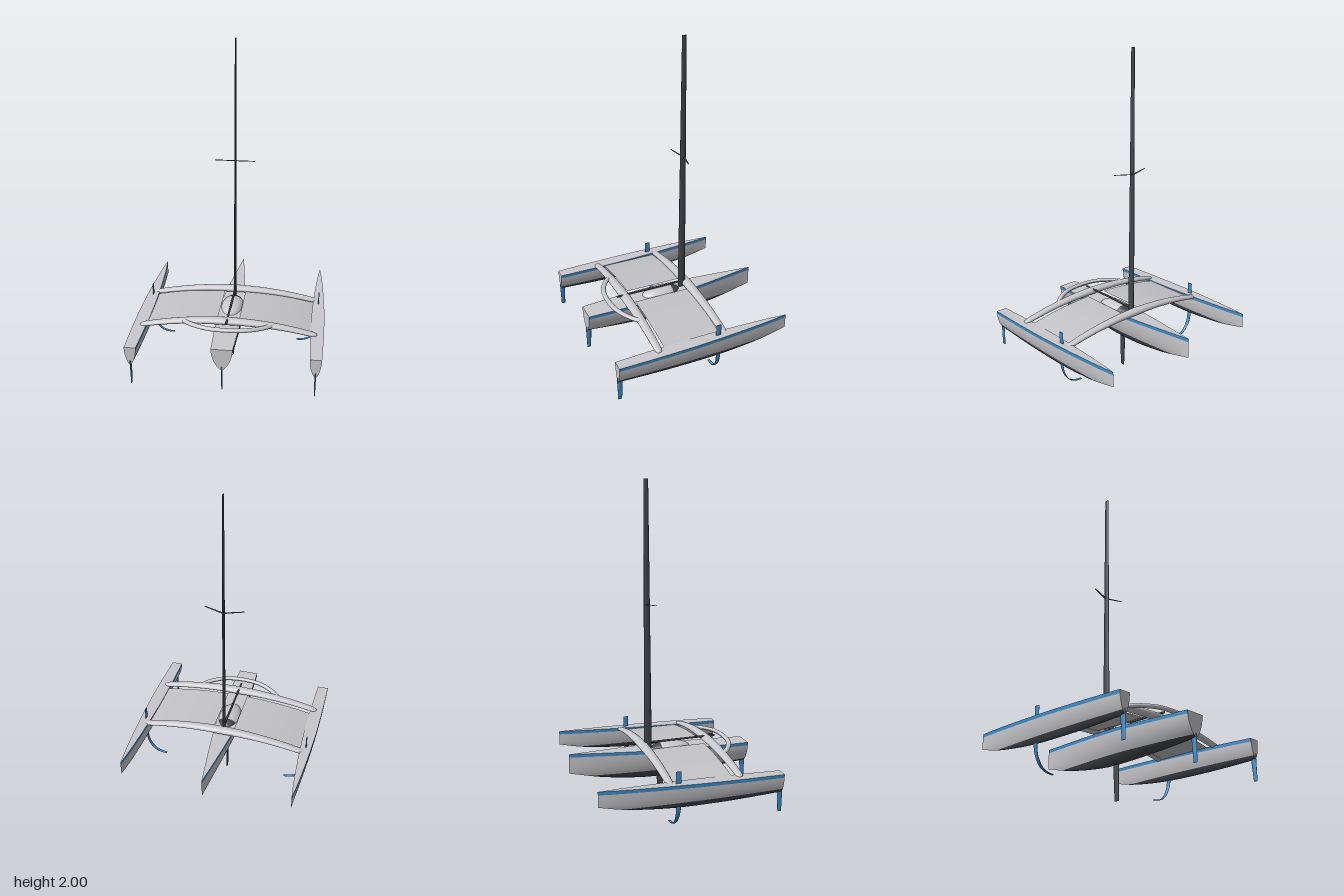
import * as THREE from 'three';

const mat = (name, color, side = THREE.FrontSide) => {
  const m = new THREE.MeshStandardMaterial({ color, side });
  m.name = name;
  return m;
};
const V = (x, y, z) => new THREE.Vector3(x, y, z);
const lerp = THREE.MathUtils.lerp;

// Skin over a list of equally long point rows
function loft(rows) {
  const n = rows[0].length, pos = [], idx = [];
  rows.forEach(r => r.forEach(p => pos.push(p.x, p.y, p.z)));
  for (let j = 0; j < rows.length - 1; j++) {
    for (let i = 0; i < n - 1; i++) {
      const a = j * n + i, b = a + 1, c = a + n, d = c + 1;
      idx.push(a, c, b, b, c, d);
    }
  }
  const g = new THREE.BufferGeometry();
  g.setAttribute('position', new THREE.Float32BufferAttribute(pos, 3));
  g.setIndex(idx);
  g.computeVertexNormals();
  return g;
}

// Oval section swept along points; a = half thickness, b = half chord along v
function sweep(path, a, b, v = V(0, 0, 1), sides = 16) {
  const last = path.length - 1;
  const rows = path.map((p, j) => {
    const t = path[Math.min(j + 1, last)].clone().sub(path[Math.max(j - 1, 0)]);
    const u = v.clone().cross(t).normalize();
    const f = j / last;
    return Array.from({ length: sides + 1 }, (_, i) => {
      const w = i / sides * Math.PI * 2;
      return p.clone().addScaledVector(u, Math.cos(w) * a(f)).addScaledVector(v, -Math.sin(w) * b(f));
    });
  });
  rows.unshift(rows[0].map(() => path[0].clone()));
  rows.push(rows[0].map(() => path[last].clone()));
  return loft(rows);
}
const line = (p, q, n = 8) => Array.from({ length: n + 1 }, (_, i) => p.clone().lerp(q, i / n));
const taper = (s, e) => f => lerp(s, e, f);

// Smooth height or width read along z from a few [z, value] points
function profile(points) {
  const c = new THREE.SplineCurve(points.map(p => new THREE.Vector2(p[0], p[1])));
  const s = c.getPoints(200);
  return z => {
    const k = s.findIndex(p => p.x >= z);
    if (k < 0) return s[200].y;
    if (k === 0) return s[0].y;
    return lerp(s[k - 1].y, s[k].y, (z - s[k - 1].x) / (s[k].x - s[k - 1].x));
  };
}

const beamY = x => 0.41 - 0.06 * Math.pow(Math.abs(x) / 0.53, 2.1);

export function createModel() {
  const model = new THREE.Group();
  const grey = mat('pale grey', 0xc9c9cd);
  const net = mat('net grey', 0xc4c4c7, THREE.DoubleSide);
  const dark = mat('charcoal', 0x42464c);
  const blue = mat('blue', 0x3d8cc8);
  const add = (name, geo, m, parent = model) => {
    const mesh = new THREE.Mesh(geo, m);
    mesh.name = name;
    parent.add(mesh);
    return mesh;
  };

  // Hull: stripe, topsides, dark bottom, deck and transom
  function hull(name, x, bow, stern, deckBow, deckStern, halfWidth, keel) {
    const g = new THREE.Group();
    g.name = name;
    g.position.x = x;
    const N = 40, water = 0.252;
    const zs = Array.from({ length: N + 1 }, (_, i) => lerp(bow, stern, i / N));
    const deck = z => lerp(deckBow, deckStern, (z - bow) / (stern - bow));
    const side = (z, y, s) => {
      const t = Math.min(1, (deck(z) - y) / (deck(z) - keel(z)));
      return V(s * halfWidth(z) * Math.pow(Math.max(0, 1 - t * t), 0.75), y, z);
    };
    const band = (z, top, bottom, s, n) => {
      const r = Array.from({ length: n + 1 }, (_, i) => side(z, lerp(top, bottom, i / n), s));
      return s > 0 ? r : r.reverse();
    };
    const line1 = z => deck(z) - 0.02;
    const line2 = z => Math.max(water, keel(z));
    for (const s of [1, -1]) {
      add('sheerStripe', loft(zs.map(z => band(z, deck(z), line1(z), s, 2))), blue, g);
      add('topside', loft(zs.map(z => band(z, line1(z), line2(z), s, 8))), grey, g);
    }
    const under = z => [...band(z, line2(z), keel(z), 1, 8), ...band(z, line2(z), keel(z), -1, 8).slice(1)];
    add('hullBottom', loft(zs.map(under)), dark, g);
    add('deck', loft(zs.map(z => [V(-halfWidth(z), deck(z), z), V(halfWidth(z), deck(z), z)])), grey, g);
    const outline = [...band(stern, deck(stern), keel(stern), 1, 16), ...band(stern, deck(stern), keel(stern), -1, 16).slice(1)];
    const transom = new THREE.ShapeGeometry(new THREE.Shape(outline.map(p => new THREE.Vector2(p.x, p.y))));
    add('transom', transom.translate(0, 0, stern), grey, g);
    // Rudder under the stern
    add('rudder', sweep(line(V(0, 0.26, 0.552), V(0, 0.11, 0.555)), taper(0.005, 0.003), taper(0.018, 0.012)), blue, g);
    model.add(g);
  }
  hull('centreHull', 0, -0.57, 0.565, 0.402, 0.373,
    profile([[-0.57, 0.0005], [-0.4, 0.024], [-0.2, 0.05], [0, 0.07], [0.12, 0.076], [0.32, 0.072], [0.565, 0.062]]),
    profile([[-0.57, 0.282], [-0.35, 0.232], [-0.1, 0.202], [0.1, 0.203], [0.35, 0.218], [0.565, 0.238]]));
  for (const s of [1, -1]) {
    hull(s > 0 ? 'leftFloat' : 'rightFloat', s * 0.53, -0.525, 0.565, 0.372, 0.347,
      profile([[-0.525, 0.0005], [-0.4, 0.014], [-0.2, 0.028], [0, 0.037], [0.15, 0.04], [0.35, 0.039], [0.565, 0.034]]),
      profile([[-0.525, 0.282], [-0.35, 0.245], [-0.1, 0.221], [0.15, 0.217], [0.35, 0.221], [0.565, 0.23]]));
  }

  // Arched crossbeams with rounded ends
  for (const [name, z] of [['frontBeam', -0.112], ['rearBeam', 0.306]]) {
    const path = Array.from({ length: 61 }, (_, i) => {
      const x = -0.53 * Math.cos(i / 60 * Math.PI);
      return V(x, beamY(x), z);
    });
    const end = f => Math.sqrt(Math.max(0, 1 - Math.pow(Math.abs(Math.cos(f * Math.PI)), 40)));
    const wide = f => 1 - Math.abs(Math.cos(f * Math.PI));
    add(name, sweep(path, f => end(f) * lerp(0.013, 0.021, wide(f)), f => end(f) * lerp(0.022, 0.032, wide(f))), grey);
  }

  // Netting between the beams
  for (const s of [1, -1]) {
    const g = new THREE.PlaneGeometry(0.435, 0.355, 24, 1).rotateX(-Math.PI / 2).translate(s * 0.2825, 0, 0.0875);
    const p = g.attributes.position;
    for (let i = 0; i < p.count; i++) p.setY(i, beamY(p.getX(i)) - 0.008);
    g.computeVertexNormals();
    add('netting', g, net);
  }

  // Curved mainsheet rail behind the rear beam
  const rail = new THREE.CatmullRomCurve3([
    V(-0.265, 0.4, 0.31), V(-0.22, 0.406, 0.353), V(-0.12, 0.412, 0.405), V(0, 0.414, 0.42),
    V(0.12, 0.412, 0.405), V(0.22, 0.406, 0.353), V(0.265, 0.4, 0.31)]);
  add('sheetRail', sweep(rail.getPoints(40), () => 0.015, () => 0.012, V(0, 1, 0)), grey);

  // Cabin pod with dark windscreen
  const pod = (from, len) => new THREE.SphereGeometry(1, 40, 24, 0, Math.PI * 2, from, len)
    .rotateX(-Math.PI / 2).scale(0.068, 0.044, 0.125).translate(0, 0.376, 0.065);
  add('windscreen', pod(0, 1.02), dark);
  add('cabin', pod(1.02, Math.PI - 1.02), grey);

  // Rig: mast, boom and spreaders
  add('mast', sweep(line(V(0, 0.37, -0.078), V(0, 2, -0.085)), taper(0.008, 0.004), taper(0.025, 0.014)), dark);
  add('boom', sweep(line(V(0, 0.424, -0.07), V(0, 0.424, 0.36)), () => 0.006, () => 0.006, V(0, 1, 0)), dark);
  for (const s of [1, -1]) {
    add('spreader', sweep(line(V(0, 1.276, -0.09), V(s * 0.118, 1.286, -0.06)), () => 0.002, taper(0.007, 0.004)), dark);
  }

  // Centreboard
  add('centreboard', sweep(line(V(0, 0.25, -0.002), V(0, 0, 0.004)), taper(0.005, 0.003), taper(0.023, 0.016)), dark);

  // Curved lifting foils through the floats
  for (const s of [1, -1]) {
    const curve = new THREE.CatmullRomCurve3([
      V(s * 0.53, 0.43, -0.068), V(s * 0.53, 0.32, -0.068), V(s * 0.53, 0.21, -0.068), V(s * 0.515, 0.155, -0.07),
      V(s * 0.48, 0.108, -0.072), V(s * 0.44, 0.09, -0.074), V(s * 0.4, 0.085, -0.076)]);
    add('liftingFoil', sweep(curve.getPoints(40), () => 0.003, taper(0.017, 0.008)), blue);
  }
  return model;
}
